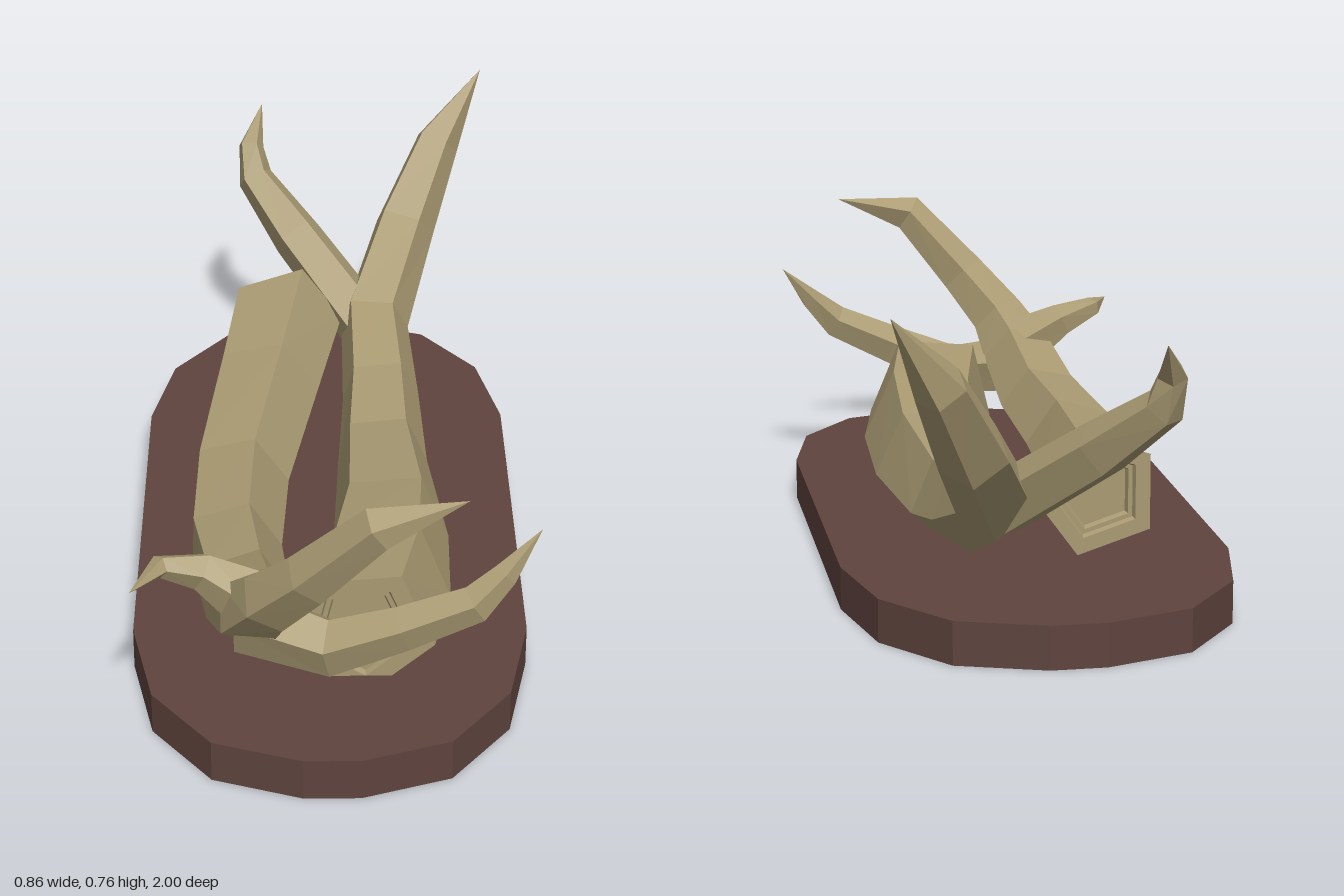
import * as THREE from 'three';

const hornMaterial = new THREE.MeshStandardMaterial({ color: 0xa99a72 });
hornMaterial.name = 'horn tan';
const plaqueMaterial = new THREE.MeshStandardMaterial({ color: 0x5f443e });
plaqueMaterial.name = 'plaque brown';
hornMaterial.flatShading = true;
plaqueMaterial.flatShading = true;

const SIDES = 5;

// Sweeps a five-sided section along points [x, y, z, radius].
// A cut start is square to z and has a recessed core; otherwise it is plain.
function horn(name, points, { cut = false, turn = 0 } = {}) {
  const centres = points.map(([x, y, z]) => new THREE.Vector3(x, y, z));
  const rings = [];
  let u = new THREE.Vector3(1, 0, 0);
  if (!cut) u.set(0, 1, 0);

  centres.forEach((c, i) => {
    const before = centres[Math.max(i - 1, 0)];
    const after = centres[Math.min(i + 1, centres.length - 1)];
    const t = after.clone().sub(before).normalize();
    if (cut && i === 0) t.set(0, 0, Math.sign(t.z));
    u = u.clone().addScaledVector(t, -u.dot(t)).normalize();
    const v = t.clone().cross(u);
    const ring = (radius, inset = 0) => Array.from({ length: SIDES }, (_, k) => {
      const a = turn + (k / SIDES) * Math.PI * 2;
      return c.clone().addScaledVector(t, inset)
        .addScaledVector(u, radius * Math.cos(a))
        .addScaledVector(v, radius * Math.sin(a));
    });
    const r = points[i][3];
    if (i === 0) {
      if (cut) rings.push(ring(0, 0.025), ring(r * 0.56, 0.025), ring(r * 0.6, 0.012),
        ring(r * 0.68, 0.012), ring(r * 0.72));
      else rings.push(ring(0));
    }
    rings.push(ring(r));
  });

  const positions = [];
  const triangle = (a, b, c) => {
    const area = b.clone().sub(a).cross(c.clone().sub(a)).length();
    if (area > 1e-9) for (const p of [a, b, c]) positions.push(p.x, p.y, p.z);
  };
  for (let i = 0; i < rings.length - 1; i++) {
    for (let k = 0; k < SIDES; k++) {
      const n = (k + 1) % SIDES;
      const [a, b, c, d] = [rings[i][k], rings[i][n], rings[i + 1][n], rings[i + 1][k]];
      triangle(a, b, c);
      triangle(a, c, d);
    }
  }
  const geometry = new THREE.BufferGeometry();
  geometry.setAttribute('position', new THREE.Float32BufferAttribute(positions, 3));
  geometry.computeVertexNormals();
  const mesh = new THREE.Mesh(geometry, hornMaterial);
  mesh.name = name;
  return mesh;
}

// Oval board with faceted ends
function plaque() {
  const half = [[0.06, -0.89], [0.25, -0.825], [0.38, -0.65], [0.43, -0.41],
    [0.43, 0.52], [0.38, 0.76], [0.25, 0.93], [0.06, 0.995]];
  const outline = [...half, ...half.map(([x, z]) => [-x, z]).reverse()];
  const shape = new THREE.Shape(outline.map(([x, z]) => new THREE.Vector2(x, -z)));
  const geometry = new THREE.ExtrudeGeometry(shape, { depth: 0.095, bevelEnabled: false });
  geometry.rotateX(-Math.PI / 2);
  const mesh = new THREE.Mesh(geometry, plaqueMaterial);
  mesh.name = 'plaque';
  return mesh;
}

export function createModel() {
  const model = new THREE.Group();
  model.name = 'mounted antlers';

  // Left antler: cut at the front, rising to a tall point at the back
  const left = new THREE.Group();
  left.name = 'leftAntler';
  left.add(
    horn('leftBeam', [
      [0.065, 0.21, 0.695, 0.16], [0.115, 0.19, 0.46, 0.155], [0.138, 0.165, 0.2, 0.138],
      [0.128, 0.155, -0.13, 0.112], [0.13, 0.2, -0.36, 0.097], [0.12, 0.275, -0.58, 0.088],
      [0.2, 0.43, -0.79, 0.078], [0.285, 0.6, -0.92, 0.057], [0.395, 0.762, -1.0, 0],
    ], { cut: true, turn: 0.23 }),
    horn('leftBackTine', [
      [0.1, 0.26, -0.57, 0.07], [-0.07, 0.42, -0.75, 0.064], [-0.175, 0.53, -0.86, 0.046],
      [-0.185, 0.605, -0.89, 0.032], [-0.157, 0.683, -0.97, 0],
    ]),
  );

  // Right antler: cut at the back, forking into three tines at the front
  const right = new THREE.Group();
  right.name = 'rightAntler';
  right.add(
    horn('rightBeam', [
      [-0.1, 0.28, -0.58, 0.14], [-0.145, 0.225, -0.35, 0.128], [-0.205, 0.17, 0, 0.115],
      [-0.215, 0.175, 0.3, 0.11], [-0.185, 0.215, 0.55, 0.1], [-0.16, 0.3, 0.74, 0.088],
      [-0.125, 0.375, 0.82, 0.07], [-0.045, 0.475, 0.89, 0.06], [0.09, 0.63, 0.95, 0.048],
      [0.272, 0.675, 0.925, 0],
    ], { cut: true }),
    horn('rightInnerTine', [
      [-0.18, 0.27, 0.73, 0.075], [0, 0.245, 0.8, 0.064], [0.15, 0.31, 0.825, 0.05],
      [0.295, 0.375, 0.835, 0.042], [0.355, 0.435, 0.82, 0.028], [0.43, 0.523, 0.79, 0],
    ]),
    horn('rightOuterTine', [
      [-0.15, 0.31, 0.73, 0.075], [-0.27, 0.382, 0.72, 0.042],
      [-0.355, 0.408, 0.745, 0.025], [-0.412, 0.412, 0.85, 0],
    ]),
  );

  model.add(plaque(), left, right);
  return model;
}
